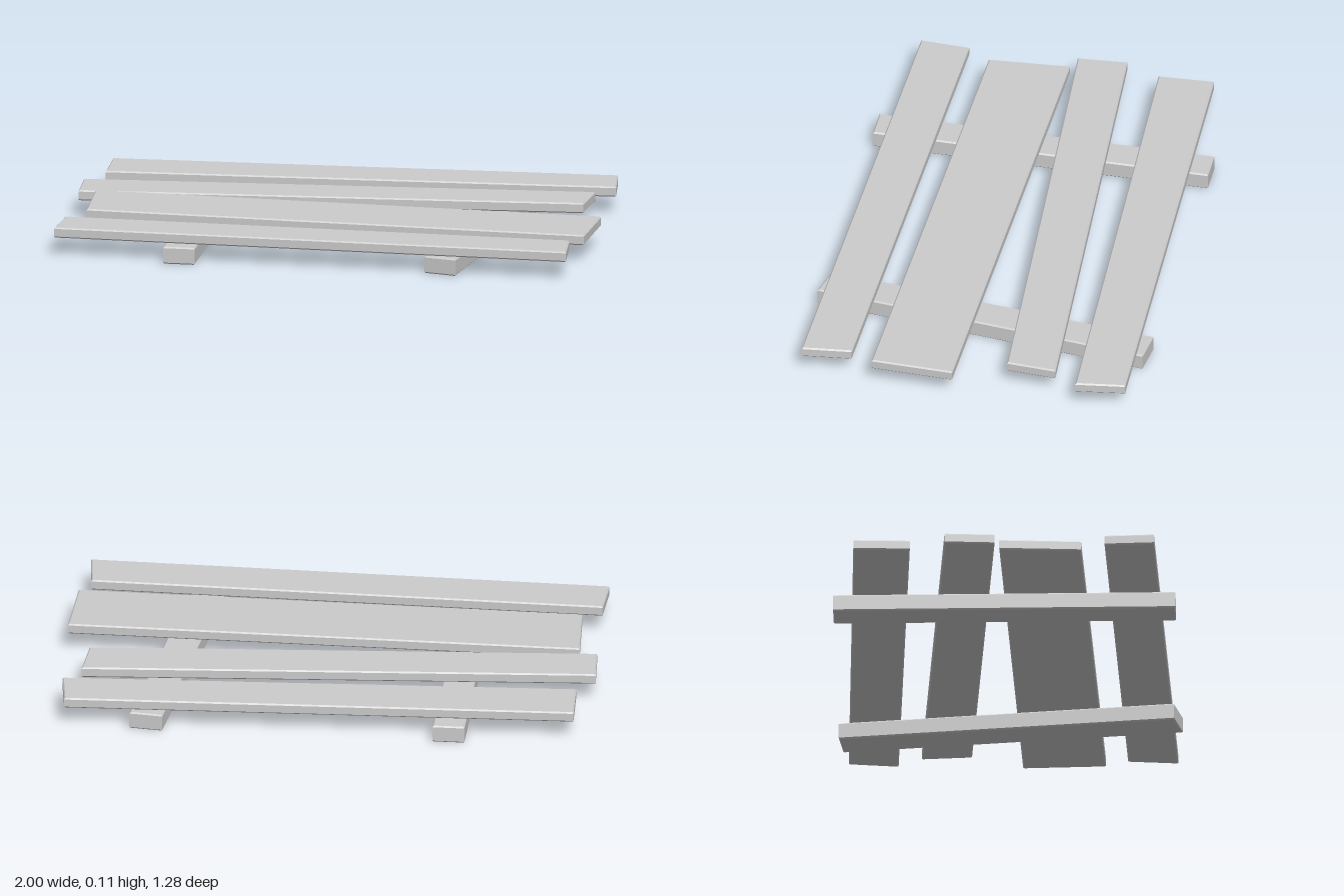
import * as THREE from 'three';

const BEVEL = 0.005;
const material = new THREE.MeshStandardMaterial({ color: 0xcccccc, flatShading: true });

// Bevelled board from four plan corners [x, z]; lift raises its left-hand end
function board(name, corners, y0, y1, lift = 0) {
  const shape = new THREE.Shape(corners.map(([x, z]) => new THREE.Vector2(x, -z)));
  const geo = new THREE.ExtrudeGeometry(shape, {
    depth: y1 - y0 - 2 * BEVEL,
    bevelEnabled: true, bevelSegments: 1,
    bevelSize: BEVEL, bevelThickness: BEVEL, bevelOffset: -BEVEL,
  });
  geo.rotateX(-Math.PI / 2);
  geo.translate(0, y0 + BEVEL, 0);
  const p = geo.attributes.position;
  for (let i = 0; i < p.count; i++) p.setY(i, p.getY(i) + lift * (1 - p.getX(i)) / 2);
  geo.computeVertexNormals();
  const mesh = new THREE.Mesh(geo, material);
  mesh.name = name;
  return mesh;
}

export function createModel() {
  const model = new THREE.Group();
  model.name = 'plankPlatform';

  // Two bearers on the ground, one straight and one askew
  const bearerTop = 0.065;
  model.add(
    board('rightBearer', [[-0.55, -0.64], [-0.43, -0.64], [-0.43, 0.635], [-0.55, 0.635]], 0, bearerTop),
    board('leftBearer', [[0.58, -0.645], [0.705, -0.63], [0.557, 0.638], [0.433, 0.608]], 0, bearerTop),
  );

  // Four uneven planks laid across, back to front
  const planks = [
    ['backPlank', [[-0.95, -0.555], [0.95, -0.615], [0.975, -0.43], [-0.94, -0.345]], 0],
    ['narrowPlank', [[-1, -0.215], [0.912, -0.342], [0.9, -0.155], [-0.987, -0.028]], 0],
    ['widePlank', [[-0.92, -0.013], [1, 0.033], [0.99, 0.342], [-0.9, 0.292]], 0.009],
    ['frontPlank', [[-0.967, 0.38], [0.95, 0.425], [0.97, 0.612], [-0.975, 0.565]], 0],
  ];
  for (const [name, corners, lift] of planks) {
    model.add(board(name, corners, bearerTop, 0.104, lift));
  }
  return model;
}
